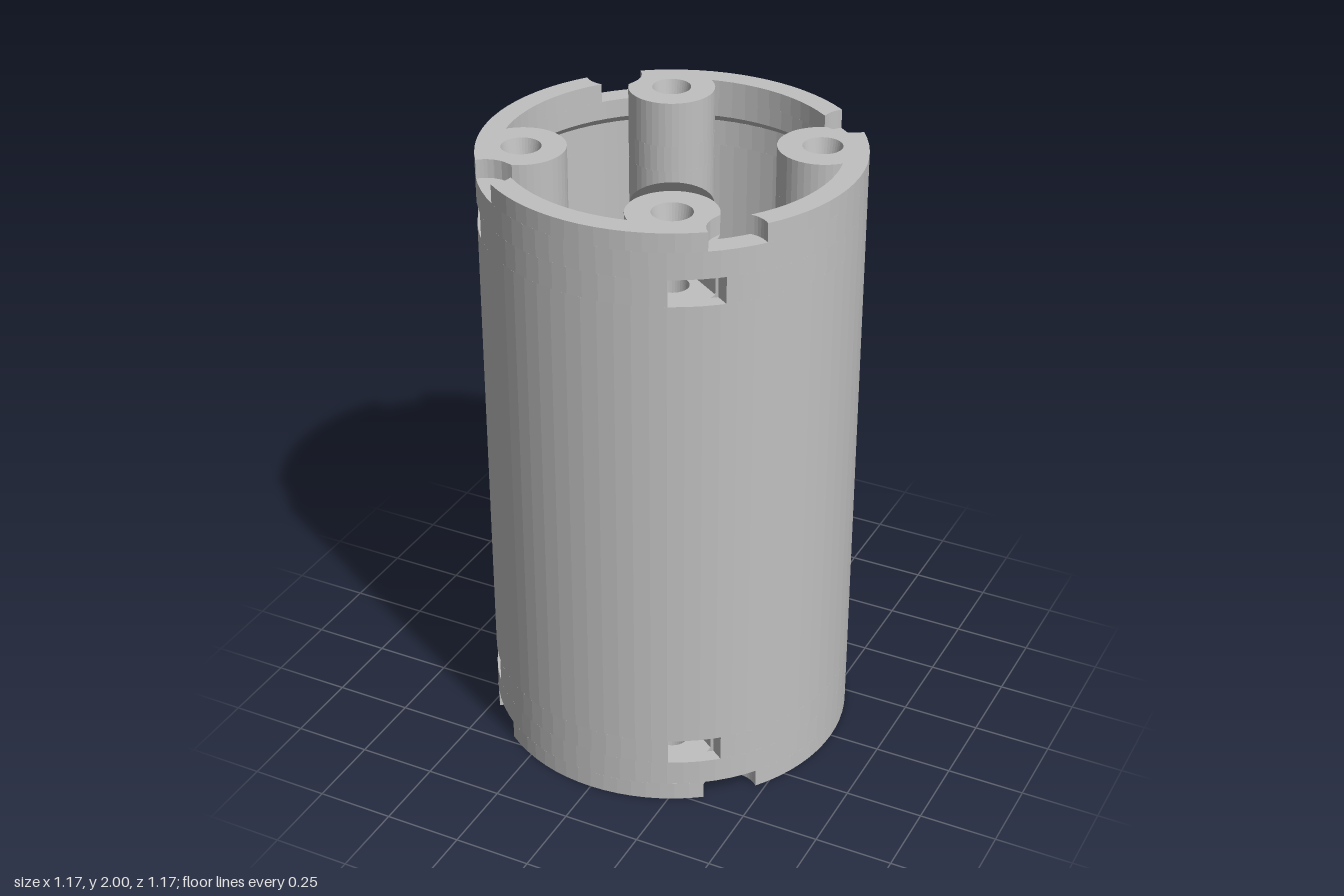
import * as THREE from 'three';

const R_OUT = 0.585, R_RIM = 0.515, R_MID = 0.54;      // wall radii
const POST = { x: 0.2, y: 0.4, r: 0.136, bore: 0.05 };
const NOTCH = { r: 0.088, at: 0.575, depth: 0.06 };
const SLOT = { from: 0.145, to: 0.23, half: 0.078, dir: THREE.MathUtils.degToRad(35) };
const Q = Math.PI / 2;

// Points on an arc; plan coordinates are (x, z)
function arc(cx, cy, r, a0, a1, n) {
  return Array.from({ length: n + 1 }, (_, i) => {
    const a = a0 + (a1 - a0) * i / n;
    return new THREE.Vector2(cx + r * Math.cos(a), cy + r * Math.sin(a));
  });
}

// Facet a geometry
function facet(geo) {
  const g = geo.index ? geo.toNonIndexed() : geo;
  g.computeVertexNormals();
  return g;
}

// Extrude a plan outline between two depths measured from the top or bottom end
function slab(points, hole, d0, d1, top) {
  const shape = new THREE.Shape(points);
  if (hole) shape.holes.push(new THREE.Path(hole));
  const geo = new THREE.ExtrudeGeometry(shape, { depth: d1 - d0, bevelEnabled: false });
  geo.rotateX(Math.PI / 2);
  geo.translate(0, top ? 2 - d0 : d1, 0);
  return geo;
}

// Move vertices by a rule given in plan coordinates and depth from the end
function reshape(geo, top, rule) {
  const p = geo.attributes.position;
  for (let i = 0; i < p.count; i++) {
    const v = { x: p.getX(i), z: p.getZ(i), d: top ? 2 - p.getY(i) : p.getY(i) };
    rule(v);
    p.setXYZ(i, v.x, top ? 2 - v.d : v.d, v.z);
  }
  return geo;
}

// Quarter of the rim between two round notches
function rimOutline() {
  const side = (R) => {
    const h = Math.acos((R * R + NOTCH.at ** 2 - NOTCH.r ** 2) / (2 * R * NOTCH.at));
    return { h, a: Math.atan2(R * Math.sin(h), R * Math.cos(h) - NOTCH.at) };
  };
  const o = side(R_OUT), i = side(R_RIM), s = Q / 2, e = Q * 1.5;
  const centre = (a) => [NOTCH.at * Math.cos(a), NOTCH.at * Math.sin(a)];
  return [
    ...arc(0, 0, R_OUT, s + o.h, e - o.h, 16),
    ...arc(...centre(e), NOTCH.r, e - o.a, e - i.a, 6).slice(1),
    ...arc(0, 0, R_RIM, e - i.h, s + i.h, 16).slice(1),
    ...arc(...centre(s), NOTCH.r, s + i.a, s + o.a, 6).slice(1, -1),
  ];
}

// Quarter of the wall between two side slots
function slottedWallOutline() {
  const offset = -POST.x * Math.sin(SLOT.dir) + POST.y * Math.cos(SLOT.dir);
  const edge = (R, v) => SLOT.dir + Math.asin((offset + v) / R);
  return [
    ...arc(0, 0, R_OUT, edge(R_OUT, SLOT.half), edge(R_OUT, -SLOT.half) + Q, 15),
    ...arc(0, 0, R_MID, edge(R_MID, -SLOT.half) + Q, edge(R_MID, SLOT.half), 15),
  ];
}

// Post section opened by the nut slot, with a hexagonal end
function slottedPostOutline() {
  const h = SLOT.half, a = Math.asin(h / POST.r);
  const pts = arc(0, 0, POST.r, a, 2 * Math.PI - a, 30);
  pts.push(new THREE.Vector2(-h * 0.577, -h), new THREE.Vector2(-h * 1.155, 0), new THREE.Vector2(-h * 0.577, h));
  const o = new THREE.Vector2();
  return pts.map((p) => p.rotateAround(o, SLOT.dir).add(new THREE.Vector2(POST.x, POST.y)));
}

export function createModel() {
  const model = new THREE.Group();
  model.name = 'tubeHousing';
  const grey = new THREE.MeshStandardMaterial({ color: 0xc0c0c0 });
  grey.name = 'plain grey';

  const add = (parent, name, geo) => {
    const mesh = new THREE.Mesh(facet(geo), grey);
    mesh.name = name;
    parent.add(mesh);
  };
  const ring = (name, profile) =>
    add(model, name, new THREE.LatheGeometry(profile.map(([r, y]) => new THREE.Vector2(r, y)), 72));

  // Long middle wall
  const y0 = SLOT.to, y1 = 2 - SLOT.to;
  ring('middleWall', [[R_OUT, y0], [R_OUT, y1], [R_MID, y1], [R_MID, y0], [R_OUT, y0]]);

  const disc = (r) => arc(POST.x, POST.y, r, 0, 2 * Math.PI, 40).slice(0, -1);
  const len = Math.hypot(POST.x, POST.y);

  // Post outline bitten by the neighbouring notch
  const nx = NOTCH.at * Math.SQRT1_2;
  const bitten = disc(POST.r).map((p) => {
    const d = Math.hypot(p.x - nx, p.y - nx);
    const k = d < NOTCH.r ? NOTCH.r / d : 1;
    return new THREE.Vector2(nx + (p.x - nx) * k, nx + (p.y - nx) * k);
  });

  for (const top of [true, false]) {
    const end = top ? 'top' : 'bottom';

    // Solid band with an inner chamfer, between notches and slots
    let band = [[R_OUT, SLOT.from], [R_OUT, NOTCH.depth], [R_RIM, NOTCH.depth],
      [R_RIM, SLOT.from - 0.025], [R_MID, SLOT.from], [R_OUT, SLOT.from]];
    band = top ? band.map(([r, d]) => [r, 2 - d]) : band.reverse();
    ring(end + 'Band', band);

    for (let k = 0; k < 4; k++) {
      const quarter = new THREE.Group();
      quarter.name = end + 'Quarter' + (k + 1);
      quarter.rotation.y = k * Q;
      model.add(quarter);

      add(quarter, 'notchedRim', slab(rimOutline(), null, 0, NOTCH.depth, top));
      add(quarter, 'slottedWall', slab(slottedWallOutline(), null, SLOT.from, SLOT.to, top));

      // Screw post: countersunk head, collar, nut slot and shaft
      const head = slab(bitten, disc(0.061), 0, NOTCH.depth, top);
      add(quarter, 'postHead', reshape(head, top, (v) => {
        const dx = v.x - POST.x, dz = v.z - POST.y, d = Math.hypot(dx, dz);
        if (d < 0.07 && v.d > 0.03) {
          v.x = POST.x + dx * POST.bore / d;
          v.z = POST.y + dz * POST.bore / d;
        }
      }));
      add(quarter, 'postCollar', slab(disc(POST.r), disc(POST.bore), NOTCH.depth, SLOT.from, top));
      add(quarter, 'postNutSlot', slab(slottedPostOutline(), null, SLOT.from, SLOT.to, top));

      // Shaft ends in a 45 degree slope running out to the wall
      const shaft = slab(disc(POST.r), disc(POST.bore), SLOT.to, 0.4, top);
      add(quarter, 'postShaft', reshape(shaft, top, (v) => {
        if (v.d > 0.3) v.d = 0.265 + (v.x * POST.x + v.z * POST.y) / len - (len - POST.r);
      }));
    }
  }
  return model;
}
